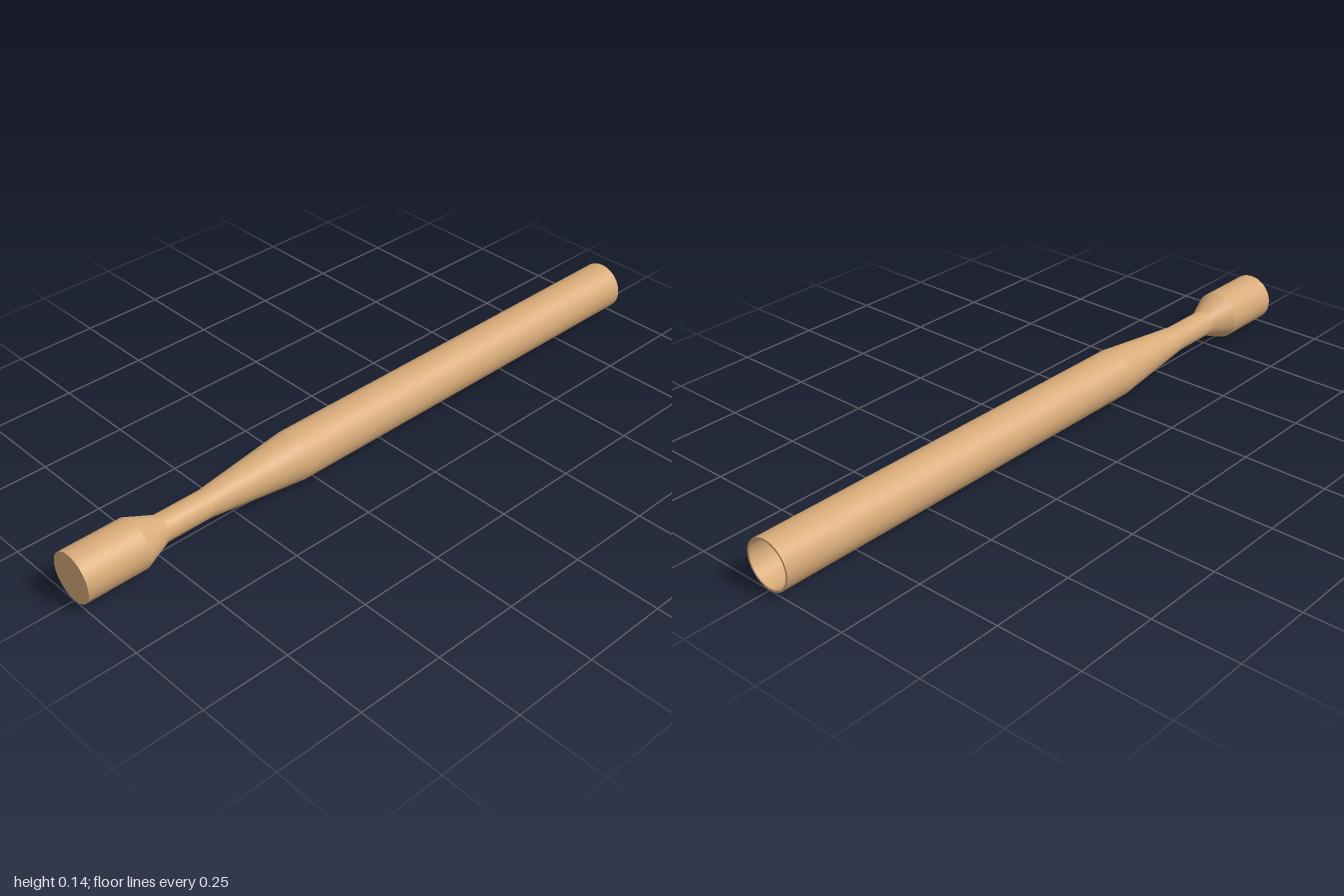
import * as THREE from 'three';
import { mergeGeometries } from 'three/addons/utils/BufferGeometryUtils.js';

const RADIUS = 0.072;
const WALL = 0.006;

// Revolve each straight run of [position, radius] separately, so joints stay crisp
function turned(name, profile, material) {
  const runs = [];
  for (let i = 0; i < profile.length - 1; i++) {
    const ends = [profile[i], profile[i + 1]].map(([x, r]) => new THREE.Vector2(r, x));
    runs.push(new THREE.LatheGeometry(ends, 64));
  }
  const geometry = mergeGeometries(runs);
  geometry.rotateZ(-Math.PI / 2); // lay the axis along x
  const mesh = new THREE.Mesh(geometry, material);
  mesh.name = name;
  mesh.position.y = RADIUS;
  return mesh;
}

export function createModel() {
  const group = new THREE.Group();
  group.name = 'neckedTube';
  const wood = new THREE.MeshStandardMaterial({ color: 0xd8ab78 });
  wood.name = 'tan';

  // Closed end chamber, short taper, neck, long taper, open barrel
  const outer = [
    [-1, RADIUS], [-0.815, RADIUS], [-0.733, 0.039],
    [-0.59, 0.039], [-0.294, RADIUS], [1, RADIUS],
  ];
  // Bore follows the outside at a constant wall, running back from the mouth
  const inner = outer.map(([x, r]) => [x === -1 ? x + WALL : x, r - WALL]).reverse();

  group.add(turned('outerBody', outer, wood));
  group.add(turned('closedEnd', [[-1, 0], [-1, RADIUS]], wood));
  group.add(turned('openRim', [[1, RADIUS], [1, RADIUS - WALL]], wood));
  group.add(turned('bore', [...inner, [-1 + WALL, 0]], wood));
  return group;
}
